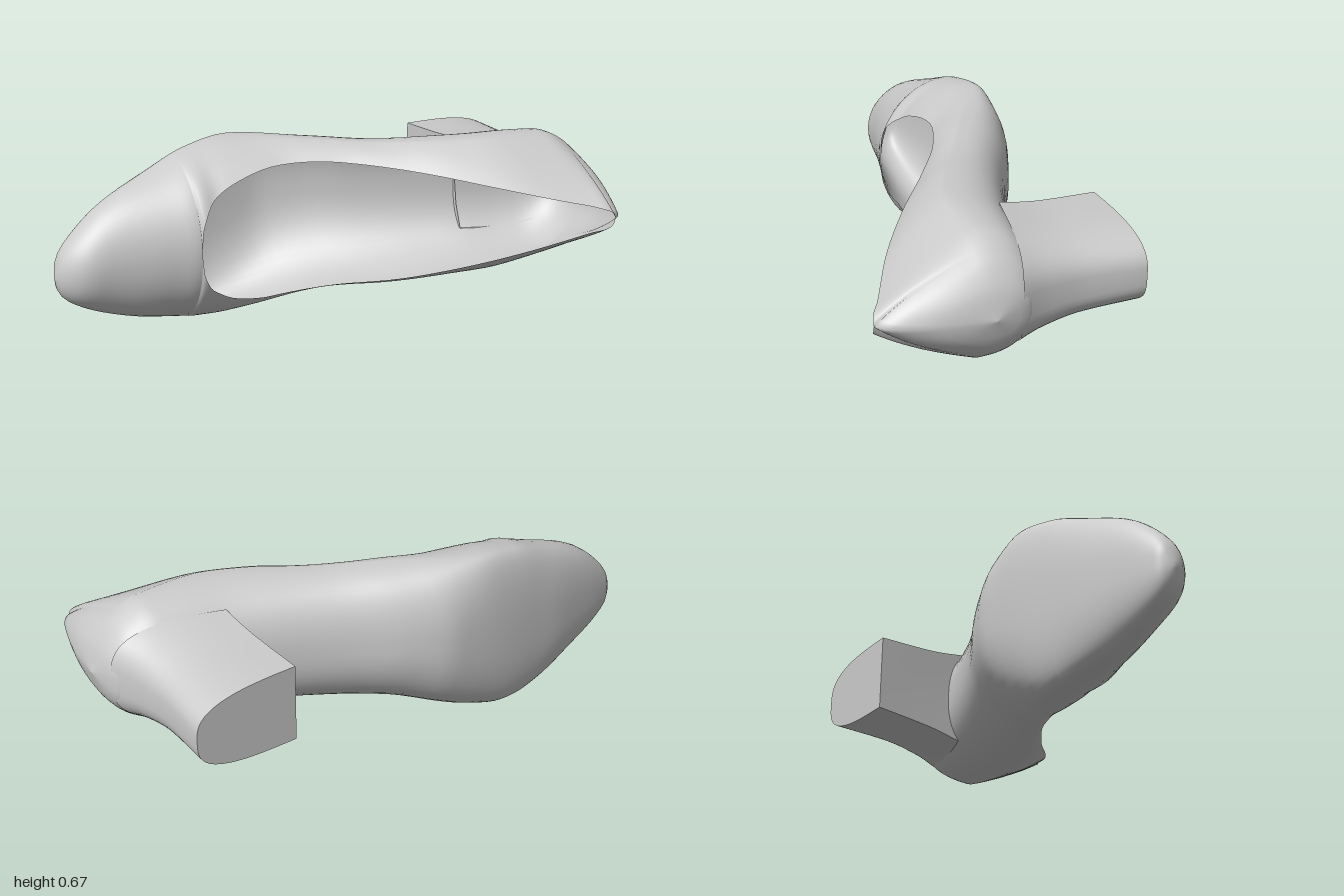
import * as THREE from 'three';
import { mergeVertices } from 'three/addons/utils/BufferGeometryUtils.js';

const material = new THREE.MeshStandardMaterial({ color: 0xcccccc, side: THREE.DoubleSide });
const { lerp, clamp } = THREE.MathUtils;

// Smooth monotone interpolation through [position, value] pairs
function profile(...p) {
  const slope = p.slice(1).map((q, i) => (q[1] - p[i][1]) / (q[0] - p[i][0]));
  const tangent = p.map((_, i) => {
    if (i === 0) return slope[0];
    if (i === p.length - 1) return slope[i - 1];
    const a = slope[i - 1], b = slope[i];
    return a * b <= 0 ? 0 : (2 * a * b) / (a + b);
  });
  return (x) => {
    let i = 0;
    while (i < p.length - 2 && x > p[i + 1][0]) i++;
    const h = p[i + 1][0] - p[i][0];
    const t = clamp((x - p[i][0]) / h, 0, 1);
    const t2 = t * t, t3 = t2 * t;
    return (2 * t3 - 3 * t2 + 1) * p[i][1] + (t3 - 2 * t2 + t) * h * tangent[i]
      + (3 * t2 - 2 * t3) * p[i + 1][1] + (t3 - t2) * h * tangent[i + 1];
  };
}

// Smooth skin over equally long rows of [x, y, z] points
function skin(rows) {
  const n = rows[0].length, index = [];
  for (let i = 0; i < rows.length - 1; i++) {
    for (let j = 0; j < n - 1; j++) {
      const a = i * n + j, b = a + n;
      index.push(a, a + 1, b, a + 1, b + 1, b);
    }
  }
  const g = new THREE.BufferGeometry();
  g.setAttribute('position', new THREE.Float32BufferAttribute(rows.flat(2), 3));
  g.setIndex(index);
  const merged = mergeVertices(g, 1e-5);
  merged.computeVertexNormals();
  return merged;
}

function add(group, name, rows) {
  const mesh = new THREE.Mesh(skin(rows), material);
  mesh.name = name;
  group.add(mesh);
}

// Outline of the upper: both sides, opening edge, rim or crown, widest levels and sole
const sideLow = profile([-1, 0.26], [-0.985, 0.2], [-0.95, 0.16], [-0.8, 0.085], [-0.6, 0.025], [-0.42, 0],
  [-0.25, 0.03], [0, 0.1], [0.2, 0.12], [0.4, 0.145], [0.6, 0.165], [0.8, 0.19], [0.9, 0.24], [0.97, 0.32], [1, 0.42]);
const sideHigh = profile([-1, 0.26], [-0.985, 0.33], [-0.95, 0.385], [-0.8, 0.51], [-0.6, 0.595], [-0.45, 0.65],
  [-0.28, 0.675], [0, 0.665], [0.2, 0.655], [0.4, 0.665], [0.6, 0.67], [0.8, 0.66], [0.9, 0.61], [0.97, 0.52], [1, 0.42]);
const openLow = profile([-0.51, 0.33], [-0.505, 0.26], [-0.48, 0.2], [-0.45, 0.165], [-0.35, 0.11], [-0.22, 0.09],
  [0, 0.115], [0.2, 0.145], [0.4, 0.21], [0.6, 0.285], [0.8, 0.36], [0.87, 0.39], [0.88, 0.42]);
const openHigh = profile([-0.51, 0.33], [-0.505, 0.41], [-0.48, 0.47], [-0.45, 0.505], [-0.35, 0.56], [-0.2, 0.597],
  [-0.05, 0.605], [0.1, 0.595], [0.3, 0.57], [0.5, 0.53], [0.7, 0.485], [0.85, 0.45], [0.875, 0.435], [0.88, 0.42]);
const top = profile([-1, -0.32], [-0.985, -0.275], [-0.9, -0.21], [-0.8, -0.19], [-0.6, -0.135], [-0.51, -0.11],
  [-0.42, -0.16], [-0.2, -0.172], [0, -0.11], [0.2, 0.02], [0.4, 0.18], [0.6, 0.32], [0.8, 0.43],
  [0.88, 0.475], [0.91, 0.45], [0.95, 0.36], [0.98, 0.25], [1, 0.1]);
const widestLow = profile([-1, -0.32], [-0.8, -0.33], [-0.5, -0.38], [-0.42, -0.37], [-0.25, -0.3], [-0.15, -0.24],
  [0, -0.15], [0.2, -0.03], [0.4, 0.06], [0.6, 0.12], [0.8, 0.11], [1, 0.1]);
const widestHigh = profile([-1, -0.32], [-0.8, -0.33], [-0.5, -0.38], [-0.3, -0.4], [0, -0.22], [0.2, -0.1],
  [0.4, 0.02], [0.6, 0.09], [0.8, 0.1], [1, 0.1]);
const sole = profile([-1, -0.32], [-0.985, -0.36], [-0.95, -0.375], [-0.8, -0.415], [-0.6, -0.455], [-0.3, -0.48],
  [-0.15, -0.475], [0, -0.42], [0.2, -0.31], [0.4, -0.22], [0.57, -0.16], [0.75, -0.12],
  [0.9, -0.08], [0.97, -0.03], [1, 0.1]);
const bulge = profile([-1, 1], [-0.2, 1], [0.2, 0.6], [0.8, 0.2], [0.9, 0.3], [1, 0.9]);
// The arch side is tucked in a little more at the waist
const tuckLow = profile([-1, 0.8], [-0.3, 0.8], [0.1, 1], [0.5, 0.85], [1, 0.8]);

// Cross-section from one opening edge, under the sole, to the other edge
function section(x) {
  const lo = sideLow(x), hi = sideHigh(x), zt = top(x), zs = sole(x), b = bulge(x);
  const mid = (lo + hi) / 2;
  const ridge = x < -0.2 ? Math.min(0.33, mid + (x + 1) * 0.05) : lerp(0.33, 0.42, clamp((x + 0.2) / 0.8, 0, 1));
  const isOpen = x > -0.51 && x < 0.88;
  const half = (edge, side, zw, tuck) => {
    // the opening cuts the wall out of a full arch over the ridge
    const start = Math.asin(clamp((ridge - edge) / (ridge - side || 1), 0, 0.97));
    const pts = [];
    for (let i = 0; i <= 12; i++) { // wall
      const s = i / 12, a = lerp(start, Math.PI / 2, s);
      const u = (Math.sin(a) - Math.sin(start)) / (1 - Math.sin(start));
      pts.push([x, lerp(edge, side, lerp(s, u, b)), lerp(zw, zt, lerp(1 - s, Math.cos(a) / Math.cos(start), b))]);
    }
    for (let i = 1; i <= 12; i++) { // sole
      const a = i / 12 * Math.PI / 2;
      const c = i === 12 ? 0 : Math.cos(a) ** tuck;
      pts.push([x, lerp(mid, side, c), lerp(zw, zs, Math.sin(a) ** tuck)]);
    }
    return pts;
  };
  const low = half(isOpen ? openLow(x) : ridge, lo, widestLow(x), tuckLow(x));
  const high = half(isOpen ? openHigh(x) : ridge, hi, widestHigh(x), 0.8);
  return [...low, ...high.reverse().slice(1)];
}

// Stations crowd together at the toe, both ends of the opening and the back
function stations() {
  const xs = [];
  const span = (a, b, n) => {
    for (let i = 0; i < n; i++) xs.push(a + (b - a) * (1 - Math.cos(i / n * Math.PI)) / 2);
  };
  span(-1, -0.51, 20);
  span(-0.51, 0.88, 48);
  span(0.88, 1, 16);
  return [...xs, 1];
}

// Heel: flat breast at the front, rounded back, flaring into the seat
const heelHalf = profile([-0.475, 0.145], [-0.25, 0.16], [-0.1, 0.185], [0, 0.21]);
const heelBack = profile([-0.475, 0.937], [-0.25, 0.926], [-0.1, 0.945], [0, 0.978]);
const heelFront = profile([-0.475, 0.552], [-0.16, 0.572], [0, 0.58]);

function heelRow(level) {
  const row = [];
  for (let i = 0; i <= 32; i++) {
    const a = (i / 32 - 0.5) * Math.PI;
    const c = i % 32 === 0 ? 0 : Math.cos(a) ** 0.65;
    const s = Math.sign(Math.sin(a)) * Math.abs(Math.sin(a)) ** 0.65;
    const seat = -0.15 + 0.15 * c + 0.05 * s * s * (1 - c); // the joint follows the rounded sole
    const z = lerp(-0.475, seat, level);
    const f = heelFront(z);
    row.push([lerp(f, heelBack(z), c), 0.43 + heelHalf(z) * s, z]);
  }
  return row;
}

// The breast spans the two front corners and dips with the sole in the middle
function breastRow(row, level) {
  const [a, b] = [row[32], row[0]];
  return [0, 0.25, 0.5, 0.75, 1].map((t) =>
    [a[0], lerp(a[1], b[1], t), a[2] - 0.05 * level * Math.sin(t * Math.PI)]);
}

export function createModel() {
  const shoe = new THREE.Group();
  shoe.name = 'shoe';
  add(shoe, 'upperAndSole', stations().map(section));

  const heel = new THREE.Group();
  heel.name = 'heel';
  const rows = Array.from({ length: 13 }, (_, i) => heelRow(i / 12));
  add(heel, 'heelWall', rows);
  add(heel, 'heelBreast', rows.map((r, i) => breastRow(r, i / 12)));
  const rim = [...rows[0], rows[0][0]];
  add(heel, 'heelTip', [rim.map(() => [0.72, 0.43, -0.475]), rim]);
  shoe.add(heel);
  return shoe;
}
